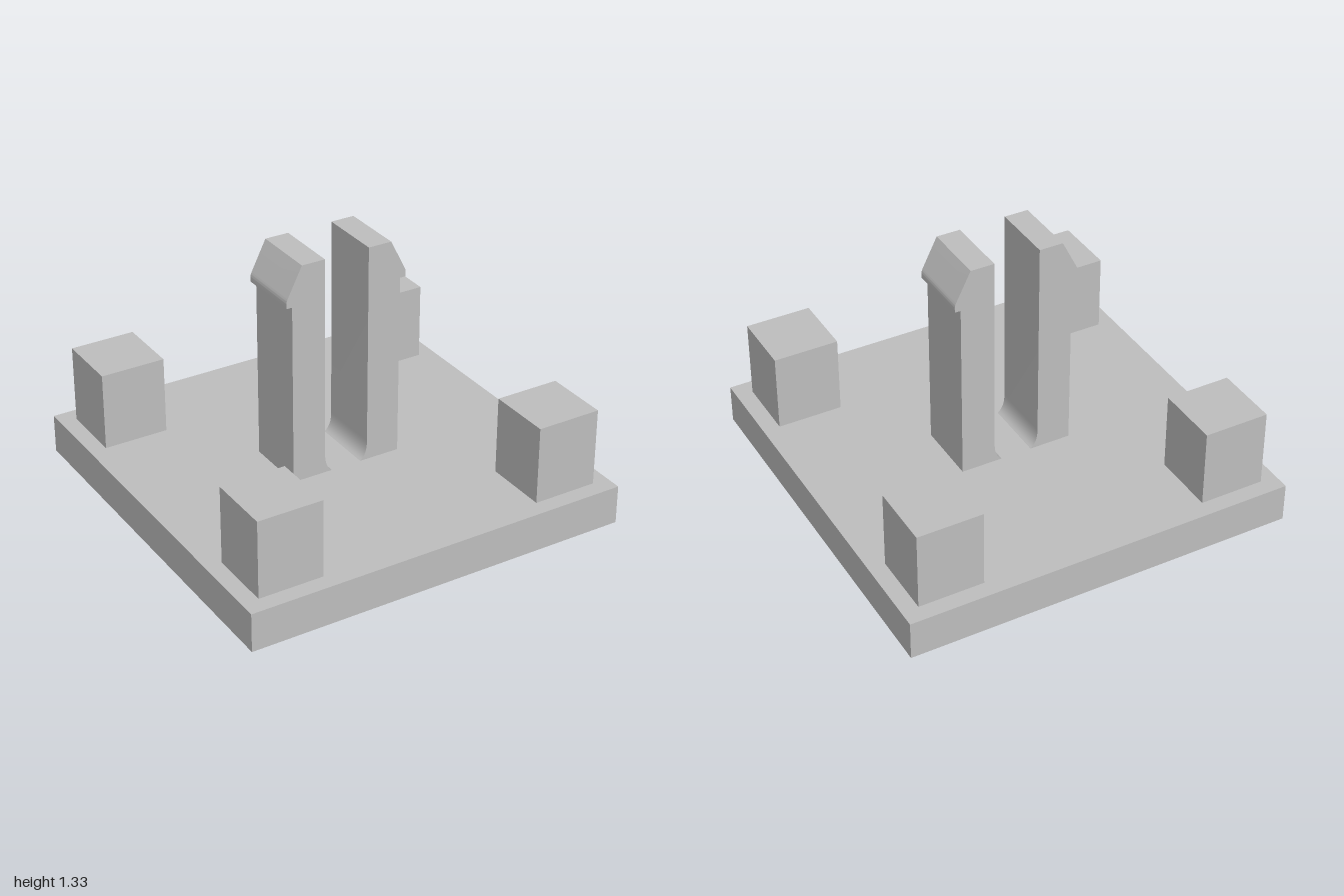
import * as THREE from 'three';
import { toCreasedNormals } from 'three/addons/utils/BufferGeometryUtils.js';

const BASE_TOP = 0.2;
const CLIP_DEPTH = 0.33;

// Profile of one snap arm; side is +1 (left) or -1 (right)
function clipGeometry(side) {
  const s = new THREE.Shape();
  s.moveTo(side * 0.08, BASE_TOP);
  s.lineTo(side * 0.293, BASE_TOP);
  s.lineTo(side * 0.293, 1.133);
  s.lineTo(side * 0.323, 1.133);
  s.lineTo(side * 0.323, 1.155);
  s.quadraticCurveTo(side * 0.323, 1.168, side * 0.316, 1.182);
  s.lineTo(side * 0.24, 1.333);
  s.lineTo(side * 0.118, 1.333);
  s.lineTo(side * 0.118, 0.3);
  // Curved foot on the inner face
  s.bezierCurveTo(side * 0.118, 0.255, side * 0.108, 0.22, side * 0.08, BASE_TOP);
  const geo = new THREE.ExtrudeGeometry(s, { depth: CLIP_DEPTH, bevelEnabled: false, curveSegments: 10 });
  geo.translate(0, 0, -CLIP_DEPTH / 2);
  return toCreasedNormals(geo, 0.5);
}

export function createModel() {
  const model = new THREE.Group();
  model.name = 'snapClipPlate';
  const grey = new THREE.MeshStandardMaterial({ color: 0xbfbfbf });
  grey.name = 'plain grey';

  const add = (name, geometry, x = 0, y = 0, z = 0) => {
    const mesh = new THREE.Mesh(geometry, grey);
    mesh.name = name;
    mesh.position.set(x, y, z);
    model.add(mesh);
  };

  // Square base plate
  add('basePlate', new THREE.BoxGeometry(2, BASE_TOP, 2), 0, BASE_TOP / 2, 0);

  for (const sx of [1, -1]) {
    const side = sx > 0 ? 'left' : 'right';
    // Corner blocks
    for (const sz of [1, -1]) {
      add(`${side}${sz > 0 ? 'Front' : 'Back'}Block`,
        new THREE.BoxGeometry(0.332, 0.4, 0.332), sx * 0.749, BASE_TOP + 0.2, sz * 0.749);
    }
    // Hooked snap arms
    add(`${side}SnapArm`, clipGeometry(sx));
  }
  return model;
}
